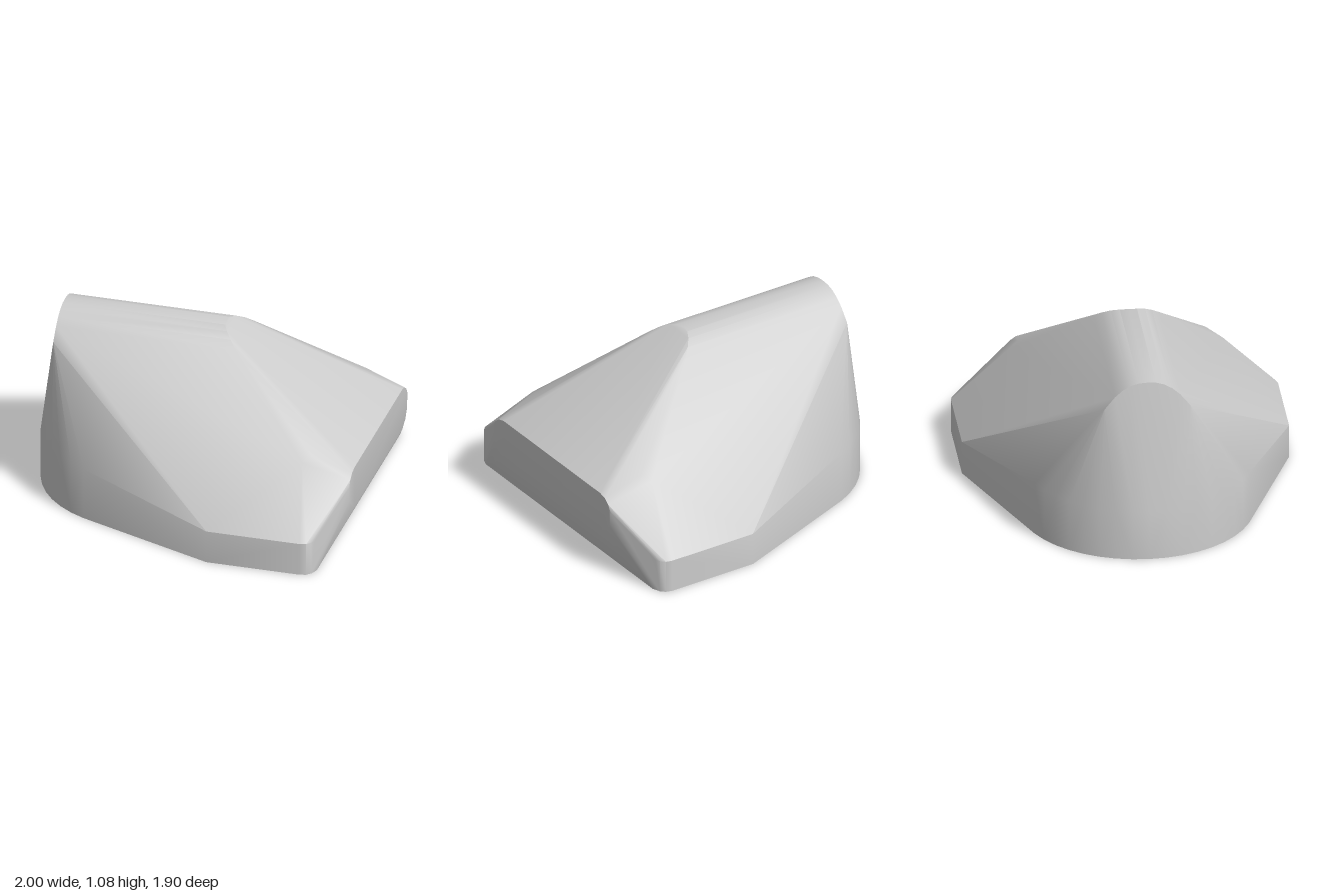
import * as THREE from 'three';
import { ConvexGeometry } from 'three/addons/geometries/ConvexGeometry.js';
import { toCreasedNormals } from 'three/addons/utils/BufferGeometryUtils.js';

export function createModel() {
  const model = new THREE.Group();
  const grey = new THREE.MeshStandardMaterial({ color: 0xcccccc });
  grey.name = 'light grey';

  const points = [];
  // adds a corner and its mirror image across z = 0
  const add = (x, y, z) => {
    points.push(new THREE.Vector3(x, y, z));
    if (z > 0) points.push(new THREE.Vector3(x, y, -z));
  };

  // rounded upright wall at the -x end
  const steps = 8;
  for (let i = 0; i <= steps; i++) {
    const a = (i / steps) * 1.16;
    const x = -0.32 - 0.68 * Math.cos(a);
    const z = 0.68 * Math.sin(a);
    add(x, 0, z);
    add(x, 0.3 + 0.02 * (i / steps), z);
  }

  // low upright side walls with a rounded corner
  for (const [x, z] of [[0.24, 0.95], [0.8, 0.95], [0.837, 0.94], [0.862, 0.915]]) {
    add(x, 0, z);
    add(x, 0.2, z);
  }
  add(0.874, 0.2, 0.89);
  add(0.88, 0, 0.87);

  // rounded ridge: [z, y, x where the front slope cuts it]
  const ridge = [[0, 1.075, 0.09], [0.05, 1.072, 0.095], [0.1, 1.057, 0.12],
    [0.145, 1.03, 0.155], [0.19, 0.99, 0.2]];
  for (const [z, y, x] of ridge) {
    add(-0.88, y, z);
    add(x, y, z);
  }
  add(-0.88, 0.915, 0.25);

  // rounded shoulder where the slope meets the flank
  add(0.72, 0.55, 0.62);
  add(0.76, 0.575, 0.565);

  // upright end panel at the +x end, with rounded corners
  for (const [y, z] of [[0.5, 0.5], [0.488, 0.55], [0.462, 0.585], [0.425, 0.607],
    [0.33, 0.6], [0.275, 0.565], [0.24, 0.5]]) add(1, y, z);

  const body = new THREE.Mesh(toCreasedNormals(new ConvexGeometry(points), 0.56), grey);
  body.name = 'wedgeBody';
  model.add(body);
  return model;
}
